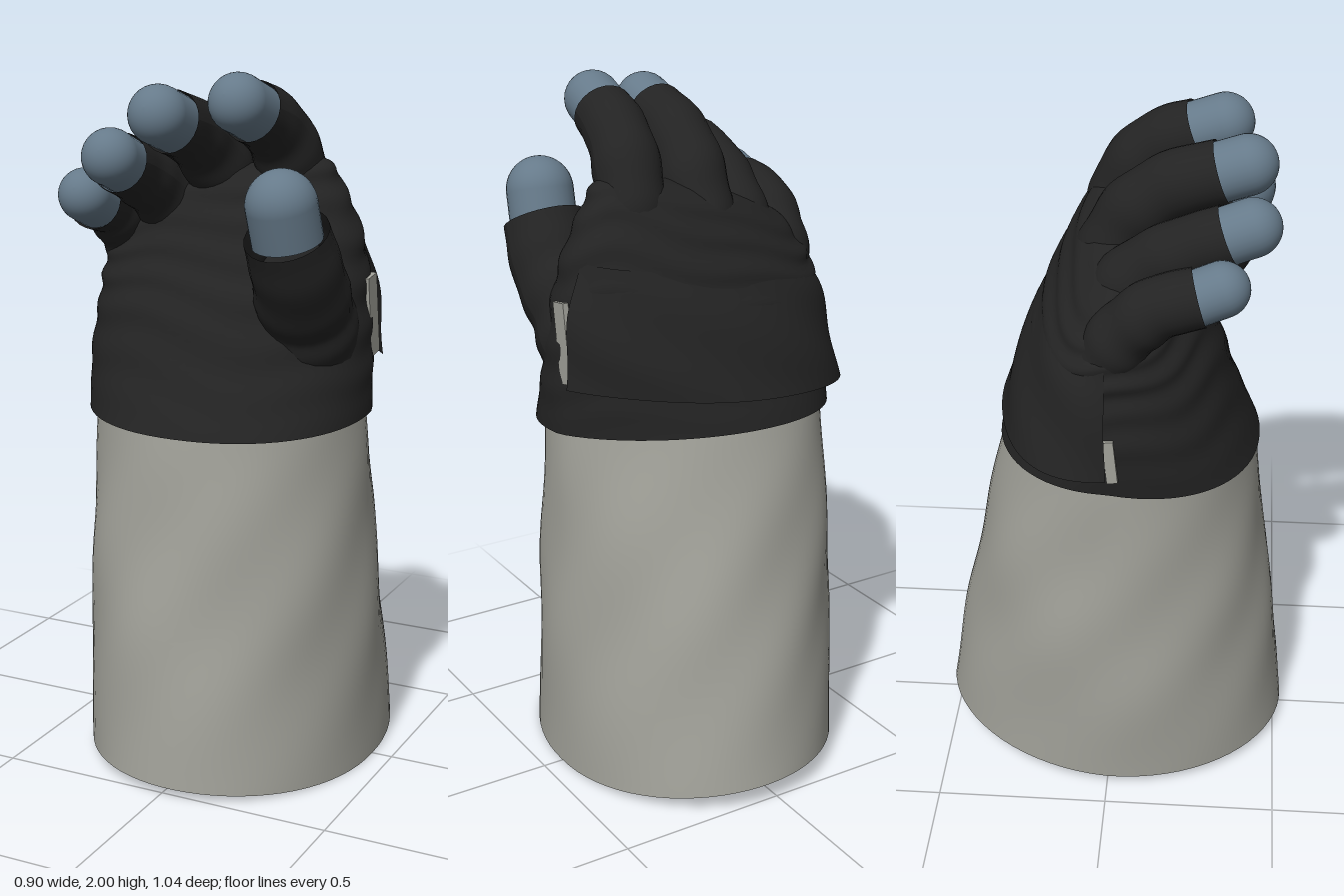
import * as THREE from 'three';

const { sin, cos, sign, abs, pow, min, PI } = Math;
const mat = (name, color, side = THREE.FrontSide) =>
  Object.assign(new THREE.MeshStandardMaterial({ color, side }), { name });

// Skin through horizontal rounded sections.
// Row: [height, xMin, xMax, zMin, zMax, tilt along x, tilt along z]
function loft(rows, { power = 2, steps = 40, sides = 72, from = 0, to = 2 * PI, deform }) {
  const times = rows.map((_, i) => i / (rows.length - 1));
  const curve = new THREE.CubicInterpolant(times, rows.flat(), 7, new Float32Array(7));
  const pos = [], index = [], full = to - from > 6.28;
  const cols = full ? sides : sides + 1;
  for (let j = 0; j <= steps; j++) {
    const t = j / steps;
    const [h, x0, x1, z0, z1, tx, tz] = curve.evaluate(t);
    for (let i = 0; i < cols; i++) {
      const a = from + (to - from) * i / sides;
      const e = cos(a) < 0 ? 1 : 2 / power; // the back half stays elliptical
      const round = v => sign(v) * pow(abs(v), e);
      const p = new THREE.Vector3(
        (x0 + x1) / 2 + (x1 - x0) / 2 * round(sin(a)), 0,
        (z0 + z1) / 2 + (z1 - z0) / 2 * round(cos(a)));
      p.y = h + tx * p.x + tz * p.z;
      deform(p, t, a);
      pos.push(p.x, p.y, p.z);
      if (j < steps && i < sides) {
        const k = j * cols + i, n = j * cols + (i + 1) % cols;
        index.push(k, n, n + cols, k, n + cols, k + cols);
      }
    }
  }
  const g = new THREE.BufferGeometry();
  g.setAttribute('position', new THREE.Float32BufferAttribute(pos, 3));
  g.setIndex(index);
  g.computeVertexNormals();
  return g;
}

// Push a point outward from the vertical axis
const swell = (p, a, d) => { p.x += sin(a) * d; p.z += cos(a) * d; };
// Slant the back of the hand toward the little finger side
const skewBack = (p, amount) => { p.x += amount * min(p.z, 0); };

// Tapered cloth tube with soft creases
function sleeve(curve, r0, r1, phase) {
  const segs = 40, sides = 24;
  const g = new THREE.TubeGeometry(curve, segs, 1, sides);
  const pos = g.attributes.position, v = new THREE.Vector3();
  for (let j = 0; j <= segs; j++) {
    const t = j / segs, c = curve.getPointAt(t);
    for (let i = 0; i <= sides; i++) {
      const k = j * (sides + 1) + i, a = i / sides * 2 * PI;
      const r = r0 + (r1 - r0) * t + 0.004 * sin(t * 24 + phase + sin(a + phase)) * (1 - t * t);
      v.fromBufferAttribute(pos, k).sub(c).multiplyScalar(r).add(c);
      pos.setXYZ(k, v.x, v.y, v.z);
    }
  }
  g.computeVertexNormals();
  return g;
}

// Round-ended cap from a to the dome centre b
function fingertip(a, b, r) {
  const len = a.distanceTo(b), pts = [new THREE.Vector2(r, -0.02)];
  for (let i = 0; i <= 12; i++) {
    const q = i / 12 * PI / 2;
    pts.push(new THREE.Vector2(r * cos(q), len + r * sin(q)));
  }
  const g = new THREE.LatheGeometry(pts, 28);
  g.applyQuaternion(new THREE.Quaternion().setFromUnitVectors(
    new THREE.Vector3(0, 1, 0), b.clone().sub(a).normalize()));
  return g.translate(a.x, a.y, a.z);
}

export function createModel() {
  const group = new THREE.Group();
  const canvas = mat('grey canvas', 0xa1a199, THREE.DoubleSide);
  const cloth = mat('black cloth', 0x232323, THREE.DoubleSide);
  const rubber = mat('blue grey rubber', 0x667a8a);
  const add = (name, geometry, material, parent = group) => {
    const m = new THREE.Mesh(geometry, material);
    m.name = name;
    parent.add(m);
    return m;
  };

  // Flared cuff, open at the bottom with a wavy hem
  add('cuff', loft([
    [0.015, -0.42, 0.44, -0.522, 0.522, -0.03, -0.035],
    [0.30, -0.427, 0.432, -0.475, 0.493, -0.03, -0.04],
    [0.55, -0.422, 0.424, -0.428, 0.465, -0.02, -0.05],
    [0.80, -0.41, 0.412, -0.377, 0.435, 0, -0.06],
    [1.05, -0.40, 0.40, -0.315, 0.405, 0, -0.08],
  ], {
    deform(p, t, a) {
      p.y += 0.12 * p.z * p.z * (1 - t);
      skewBack(p, 0.2 * t * t - 0.04 * (1 - t));
      swell(p, a, 0.004 * sin(PI * t) * (sin(4 * a + 7 * t) + sin(7 * a - 11 * t + 1)));
    },
  }), canvas);

  // Palm and back of the hand, with a smooth wrist
  add('palm', loft([
    [1.05, -0.415, 0.42, -0.325, 0.417, 0, -0.08],
    [1.20, -0.43, 0.417, -0.285, 0.345, 0, -0.05],
    [1.35, -0.42, 0.405, -0.25, 0.285, 0.04, 0],
    [1.48, -0.415, 0.38, -0.205, 0.22, 0.13, 0],
    [1.60, -0.38, 0.32, -0.145, 0.16, 0.24, 0],
    [1.69, -0.27, 0.25, -0.08, 0.11, 0.26, 0],
    [1.72, -0.02, 0.02, 0.01, 0.03, 0.26, 0],
  ], {
    power: 2.15, steps: 60,
    deform(p, t, a) {
      skewBack(p, 0.25 * (1 - 1.5 * t));
      swell(p, a, 0.005 * sin(PI * t) * sin(50 * t + 2 * sin(2 * a) + sin(5 * a)));
    },
  }), cloth);

  // Loose flap over the back of the hand
  add('backFlap', loft([
    [1.16, -0.458, 0.447, -0.322, 0.36, 0.09, 0],
    [1.28, -0.443, 0.44, -0.287, 0.31, 0.06, 0],
    [1.40, -0.43, 0.42, -0.242, 0.26, 0.06, 0],
    [1.50, -0.408, 0.375, -0.19, 0.20, 0.13, 0],
  ], {
    steps: 16, from: 1.8, to: 4.66,
    deform(p, t, a) {
      skewBack(p, 0.24 - 0.18 * t);
      swell(p, a, 0.004 * sin(9 * t + 5 * a));
    },
  }), cloth);

  // Pull tabs at the ends of the flap
  for (const [name, x, y, z, h, w, lean] of [
    ['leftTab', 0.403, 1.32, -0.015, 0.23, 0.06, 0.15],
    ['rightTab', -0.43, 1.17, 0.012, 0.13, 0.03, -0.1],
  ]) {
    const tab = add(name, new THREE.BoxGeometry(0.016, h, w), canvas);
    tab.position.set(x, y, z);
    tab.rotation.x = lean;
  }

  // Digits: sleeve path, dome centre, base / end / tip radii
  const digits = [
    ['index', [[0.195, 1.5, -0.04], [0.182, 1.63, -0.005], [0.167, 1.76, 0.035], [0.152, 1.852, 0.12], [0.14, 1.892, 0.215]],
      [0.135, 1.918, 0.285], 0.107, 0.087, 0.081],
    ['middle', [[-0.02, 1.48, -0.05], [-0.035, 1.6, -0.015], [-0.05, 1.73, 0.05], [-0.065, 1.82, 0.16], [-0.07, 1.862, 0.285]],
      [-0.07, 1.884, 0.35], 0.105, 0.088, 0.082],
    ['ring', [[-0.175, 1.4, -0.04], [-0.187, 1.51, -0.005], [-0.2, 1.62, 0.07], [-0.215, 1.7, 0.19], [-0.215, 1.747, 0.308]],
      [-0.208, 1.768, 0.368], 0.1, 0.084, 0.079],
    ['little', [[-0.313, 1.35, -0.025], [-0.323, 1.45, 0.005], [-0.338, 1.54, 0.065], [-0.345, 1.6, 0.14], [-0.338, 1.627, 0.238]],
      [-0.333, 1.65, 0.295], 0.095, 0.081, 0.075],
    ['thumb', [[0.255, 1.19, 0.06], [0.272, 1.34, 0.145], [0.292, 1.46, 0.24], [0.289, 1.585, 0.313]],
      [0.285, 1.664, 0.337], 0.15, 0.117, 0.097],
  ];
  digits.forEach(([name, path, dome, r0, r1, rTip], i) => {
    const digit = new THREE.Group();
    digit.name = name;
    group.add(digit);
    const pts = path.map(p => new THREE.Vector3(...p));
    add(name + 'Sleeve', sleeve(new THREE.CatmullRomCurve3(pts), r0, r1, i * 1.7), cloth, digit);
    add(name + 'Tip', fingertip(pts.at(-1), new THREE.Vector3(...dome), rTip), rubber, digit);
  });

  return group;
}
